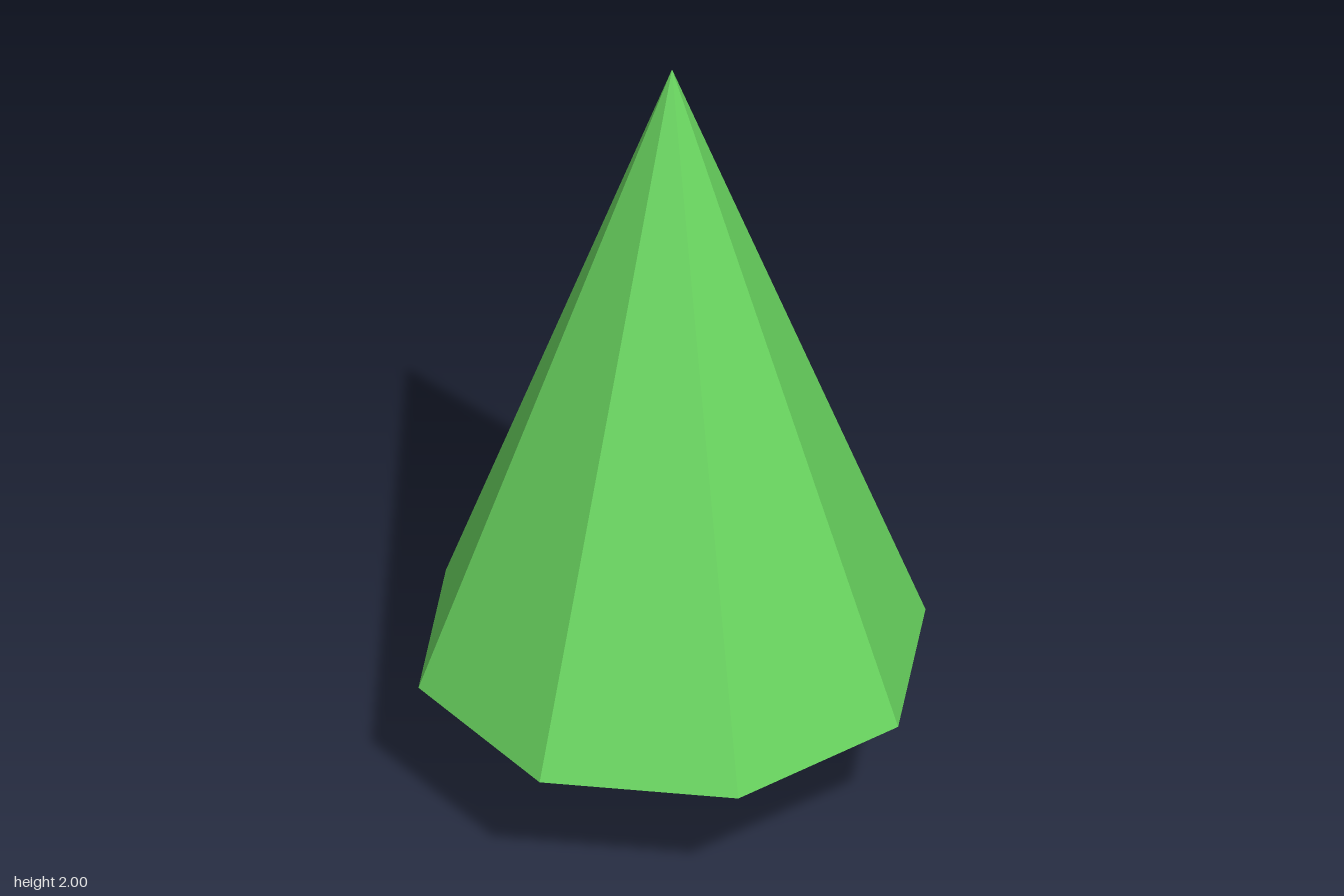
import * as THREE from 'three';

export function createModel() {
  const leafGreen = new THREE.MeshStandardMaterial({ color: 0x6ad660 });
  leafGreen.name = 'leafGreen';
  leafGreen.flatShading = true;
  leafGreen.side = THREE.DoubleSide;
  const paleBark = new THREE.MeshStandardMaterial({ color: 0xd9cfbd });
  paleBark.name = 'paleBark';
  paleBark.flatShading = true;

  const tree = new THREE.Group();
  tree.name = 'tree';

  // Crown: hollow eight-sided cone, open underneath
  const rimY = 0.355, topY = 2;
  const crown = new THREE.Mesh(
    new THREE.ConeGeometry(0.6, topY - rimY, 8, 1, true), leafGreen);
  crown.name = 'crown';
  crown.position.y = (rimY + topY) / 2;

  // Trunk: five-sided post with one edge facing the front, ending just inside the crown
  const trunkHeight = 0.4;
  const trunk = new THREE.Mesh(
    new THREE.CylinderGeometry(0.075, 0.075, trunkHeight, 5), paleBark);
  trunk.name = 'trunk';
  trunk.position.y = trunkHeight / 2;

  tree.add(crown, trunk);
  return tree;
}
